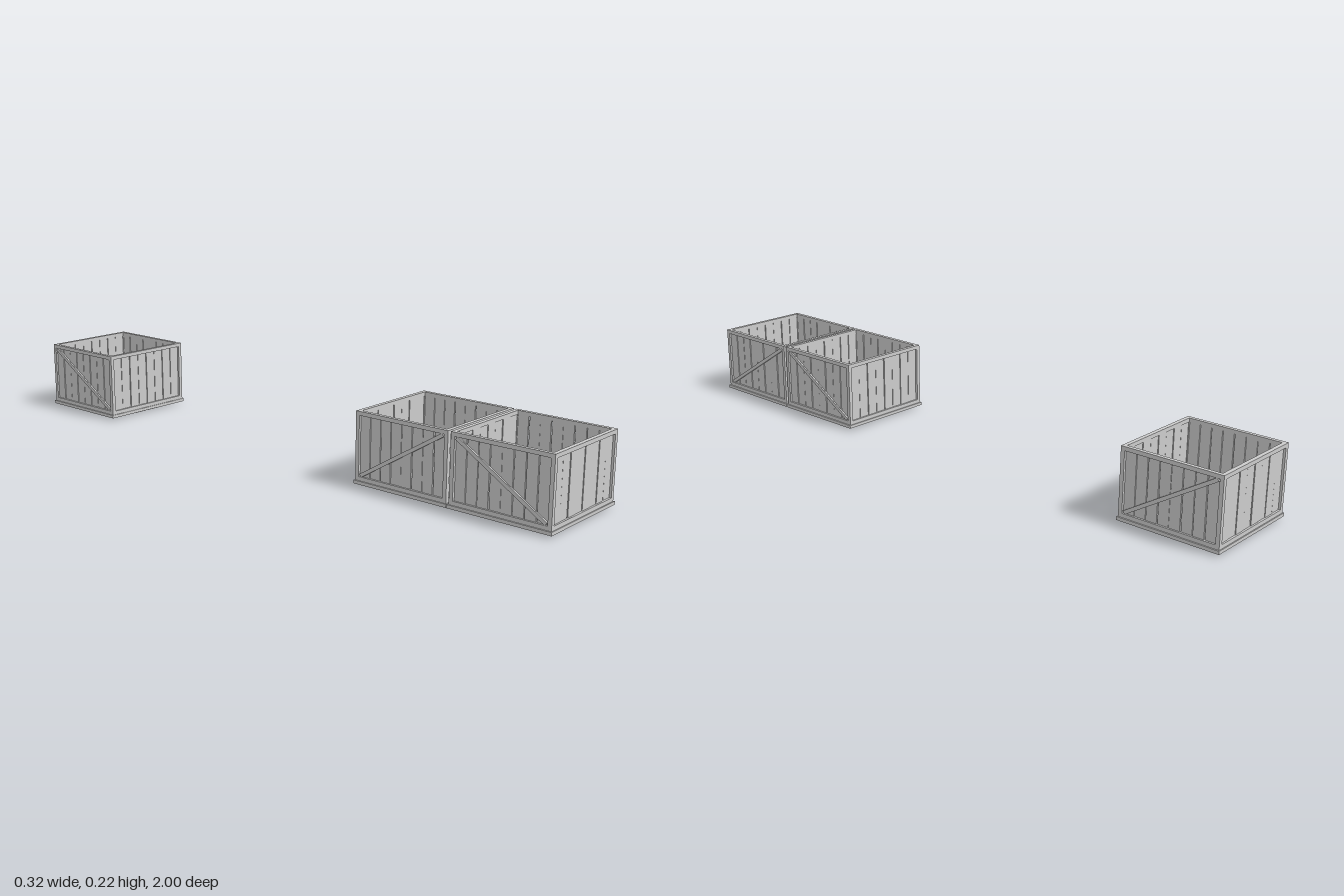
import * as THREE from 'three';

const material = new THREE.MeshStandardMaterial({ color: 0xcccccc, flatShading: true });
const HX = 0.158, HZ = 0.155;      // half size of the crate walls
const Y0 = 0.017, Y1 = 0.218;      // foot and top of the walls
const RAIL = 0.012, DEPTH = 0.012; // frame bar width and wall thickness

function seeded(seed) {
  return () => (seed = (seed * 16807) % 2147483647) / 2147483647;
}

function bar(parent, name, size, pos, tilt = 0) {
  const mesh = new THREE.Mesh(new THREE.BoxGeometry(...size), material);
  mesh.name = name;
  mesh.position.set(...pos);
  mesh.rotation.z = tilt;
  parent.add(mesh);
  return mesh;
}

// Upright wall in its own xy plane, outer face at z = 0
function makeWall(name, half, rand, brace) {
  const wall = new THREE.Group();
  wall.name = name;
  const h = Y1 - Y0, mid = (Y0 + Y1) / 2;

  // frame
  for (const y of [Y0 + RAIL / 2, Y1 - RAIL / 2])
    bar(wall, 'rail', [2 * half, RAIL, DEPTH], [0, y, -DEPTH / 2]);
  for (const s of [-1, 1])
    bar(wall, 'post', [RAIL, h - 2 * RAIL, DEPTH], [s * (half - RAIL / 2), mid, -DEPTH / 2]);

  // slightly uneven planks
  const count = 8, inner = half - RAIL, pitch = 2 * inner / count;
  for (let i = 0; i < count; i++) {
    const x = -inner + (i + 0.5) * pitch + (rand() - 0.5) * 0.001;
    bar(wall, 'plank', [pitch - 0.0022, h - 2 * RAIL + 0.004, 0.005],
      [x, mid, -0.0075 - (i % 2) * 0.0012], (rand() - 0.5) * 0.012);
  }

  // diagonal brace
  if (brace) {
    const dx = 2 * (half - RAIL), dy = h - 2 * RAIL;
    bar(wall, 'brace', [Math.hypot(dx, dy) - 0.012, 0.011, 0.006],
      [0, mid, -0.0035], brace * Math.atan2(dy, dx));
  }
  return wall;
}

function makeCrate(name, z, flip, seed) {
  const crate = new THREE.Group();
  crate.name = name;
  const rand = seeded(seed);

  // front and back walls, then the braced side walls
  const front = makeWall('frontWall', HX, rand, 0);
  front.position.z = HZ;
  const back = makeWall('backWall', HX, rand, 0);
  back.position.z = -HZ;
  back.rotation.y = Math.PI;
  const left = makeWall('leftWall', HZ, rand, flip);
  left.position.x = HX;
  left.rotation.y = Math.PI / 2;
  const right = makeWall('rightWall', HZ, rand, -flip);
  right.position.x = -HX;
  right.rotation.y = -Math.PI / 2;
  crate.add(front, back, left, right);

  // floor plate with a small lip
  bar(crate, 'floor', [0.324, 0.01, 0.316], [0, 0.012, 0]);

  // four fields of slats under the floor
  const slats = 9, field = 0.135, step = field / slats;
  for (const sx of [-1, 1])
    for (const sz of [-1, 1])
      for (let i = 0; i < slats; i++)
        bar(crate, 'bottomSlat', [0.136, 0.007, step * 0.75],
          [sx * 0.073, 0.0035, sz * (0.005 + (i + 0.5) * step)]);

  crate.position.z = z;
  return crate;
}

export function createModel() {
  const model = new THREE.Group();
  model.name = 'crates';
  model.add(
    makeCrate('frontCrate', 0.842, 1, 11),
    makeCrate('middleCrate', 0.523, -1, 29),
    makeCrate('backCrate', -0.842, 1, 53),
  );
  return model;
}
